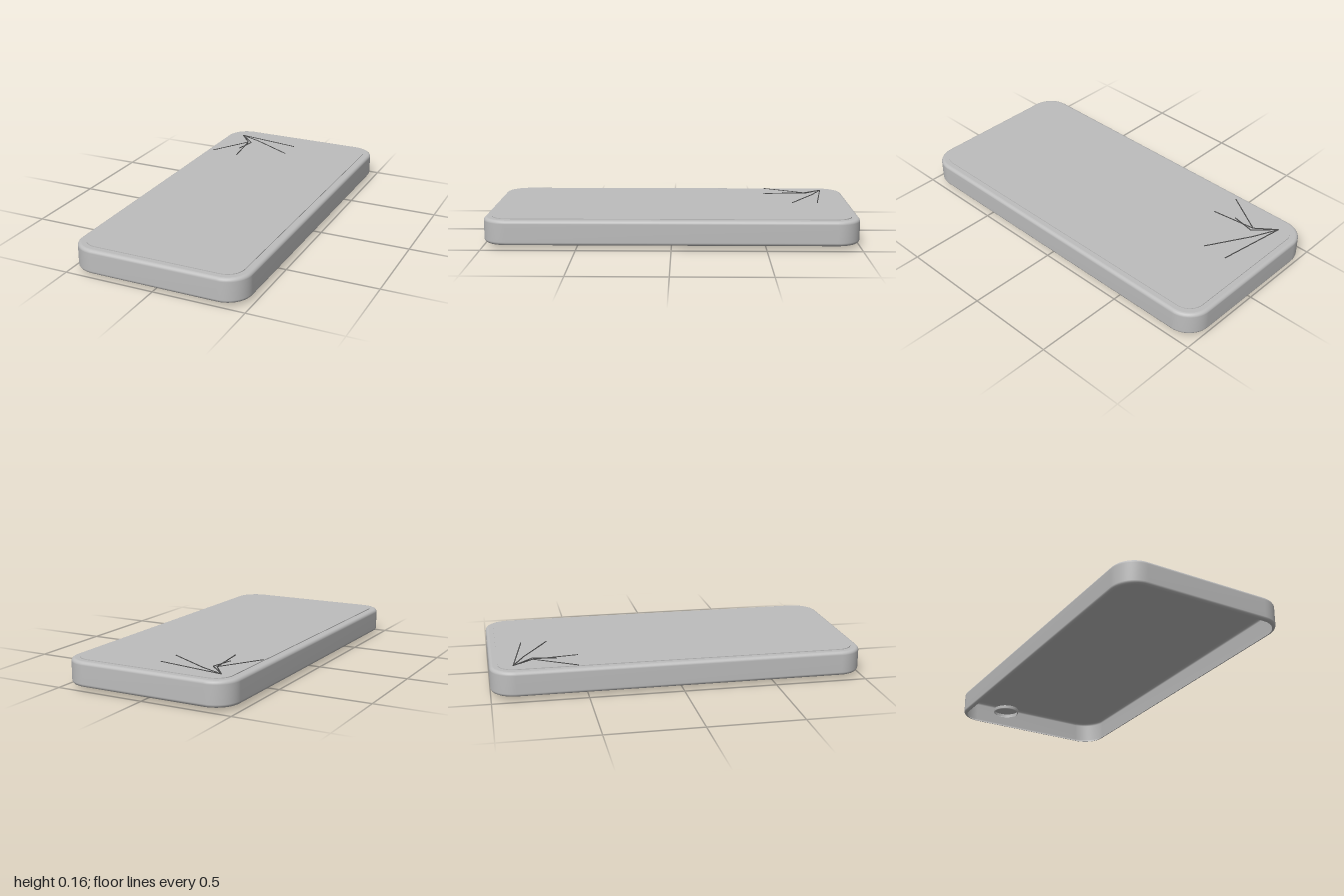
import * as THREE from 'three';

const shellMat = new THREE.MeshStandardMaterial({ color: 0xbdbdbd, side: THREE.DoubleSide });
shellMat.name = 'light grey';
const crackMat = new THREE.MeshStandardMaterial({ color: 0x484848, side: THREE.DoubleSide });
crackMat.name = 'dark grey';

// Rounded rectangle outline, counterclockwise from above
function outline(halfW, halfL, r, steps = 12) {
  const pts = [];
  [[1, 1], [-1, 1], [-1, -1], [1, -1]].forEach(([sx, sy], c) => {
    for (let i = 0; i <= steps; i++) {
      const a = (c + i / steps) * Math.PI / 2;
      pts.push(new THREE.Vector2(sx * (halfW - r) + r * Math.cos(a), sy * (halfL - r) + r * Math.sin(a)));
    }
  });
  return pts;
}

// Quarter-round edges at the bottom and top of a wall, as [inset, y] pairs
function edgeProfile(y0, y1, b, n = 5) {
  const lower = [], upper = [];
  for (let i = 0; i <= n; i++) {
    const a = i / n * Math.PI / 2;
    lower.push([b * (1 - Math.sin(a)), y0 + b * (1 - Math.cos(a))]);
    upper.push([b * (1 - Math.cos(a)), y1 - b * (1 - Math.sin(a))]);
  }
  return [...lower, ...upper];
}

// Wall lofted through the outline at each profile step
function wall(halfW, halfL, r, profile) {
  const pos = [], index = [];
  let n = 0;
  profile.forEach(([inset, y], j) => {
    const loop = outline(halfW - inset, halfL - inset, r - inset);
    n = loop.length;
    loop.forEach((p) => pos.push(p.x, y, -p.y));
    if (j === 0) return;
    for (let i = 0; i < n; i++) {
      const a = (j - 1) * n + i, b = (j - 1) * n + (i + 1) % n;
      index.push(a, b, b + n, a, b + n, a + n);
    }
  });
  const geo = new THREE.BufferGeometry();
  geo.setAttribute('position', new THREE.Float32BufferAttribute(pos, 3));
  geo.setIndex(index);
  geo.computeVertexNormals();
  return geo;
}

export function createModel() {
  const model = new THREE.Group();
  model.name = 'phone';
  const add = (name, geo, mat, x = 0, y = 0, z = 0) => {
    const mesh = new THREE.Mesh(geo, mat);
    mesh.name = name;
    mesh.position.set(x, y, z);
    model.add(mesh);
    return mesh;
  };

  // Hollow body, open underneath
  const bevel = 0.018, bottom = 0.02, top = 0.153;
  add('bodyWall', wall(0.48, 1, 0.13, edgeProfile(bottom, top, bevel)), shellMat);
  const cap = new THREE.ShapeGeometry(new THREE.Shape(outline(0.48 - bevel, 1 - bevel, 0.13 - bevel)));
  add('bodyTop', cap.rotateX(-Math.PI / 2), shellMat, 0, top, 0);

  // Thin screen glass
  const glass = new THREE.ExtrudeGeometry(new THREE.Shape(outline(0.437, 0.957, 0.09)), { depth: 0.004, bevelEnabled: false });
  add('screen', glass.rotateX(-Math.PI / 2), shellMat, 0, top, 0);

  // Camera ring and its inner plate on the underside
  const ring = [[0.067, 0], [0.071, 0.002], [0.073, 0.006], [0.073, 0.022]].map(([x, y]) => new THREE.Vector2(x, y));
  add('cameraRing', new THREE.LatheGeometry(ring, 40), shellMat, -0.272, 0, -0.738);
  add('cameraPlate', new THREE.CircleGeometry(0.073, 40).rotateX(Math.PI / 2), shellMat, -0.272, 0.022, -0.738);

  // Cracks spreading from one corner of the glass
  const cracks = [
    [[-0.38, -0.878], [0, -0.817]],
    [[-0.38, -0.878], [-0.24, -0.815], [0, -0.677]],
    [[-0.38, -0.878], [-0.296, -0.772], [-0.434, -0.545]],
    [[-0.296, -0.772], [-0.265, -0.53]],
    [[-0.38, -0.878], [-0.275, -0.772], [-0.3, -0.646]],
  ];
  for (const path of cracks) {
    for (let i = 1; i < path.length; i++) {
      const [x0, z0] = path[i - 1], [x1, z1] = path[i];
      const line = new THREE.BoxGeometry(Math.hypot(x1 - x0, z1 - z0), 0.004, 0.005);
      const mesh = add('crack', line, crackMat, (x0 + x1) / 2, 0.158, (z0 + z1) / 2);
      mesh.rotation.y = -Math.atan2(z1 - z0, x1 - x0);
    }
  }
  return model;
}
